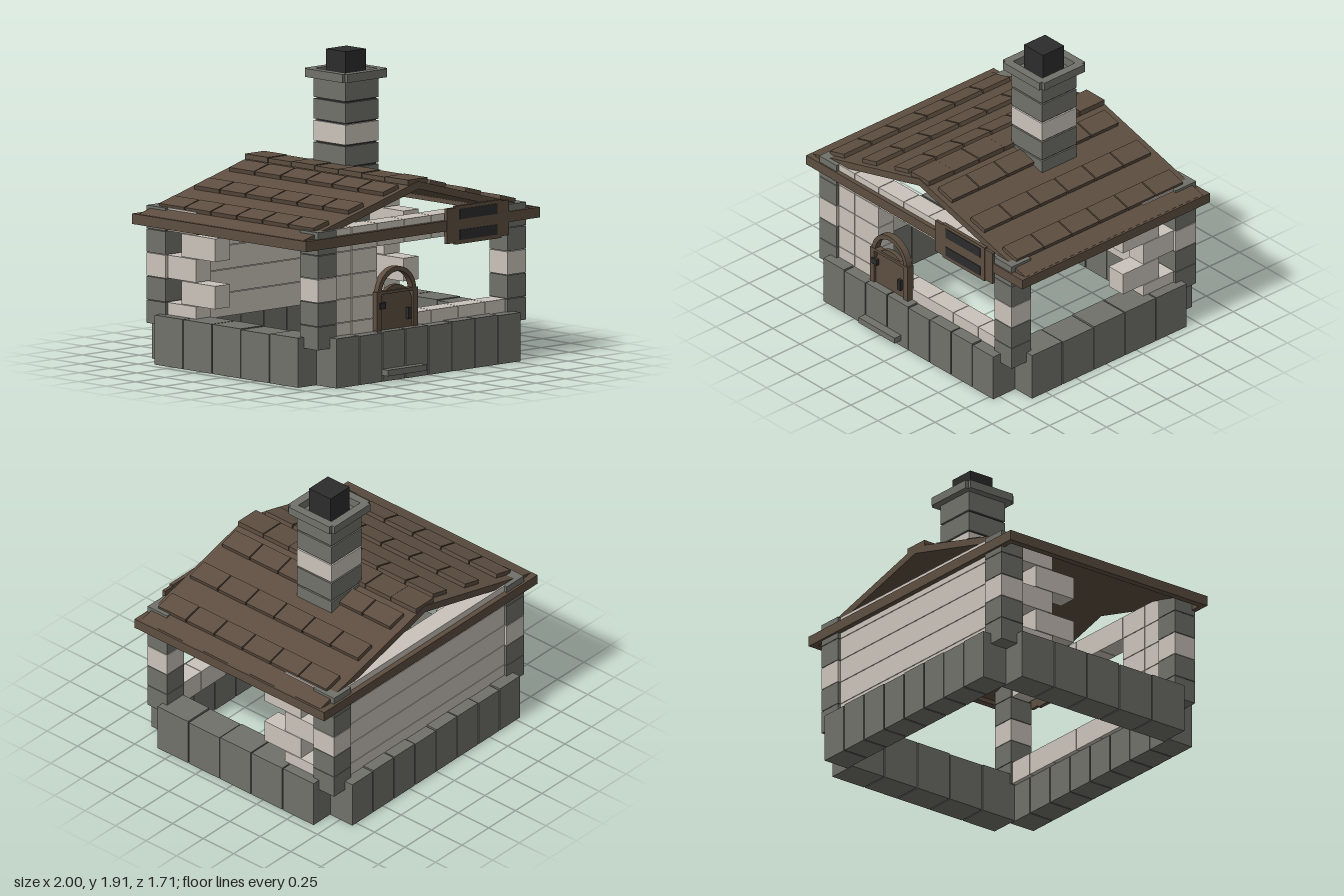
import * as THREE from 'three';

export function createModel() {
  const group = new THREE.Group();
  const mat = (name, color) => {
    const m = new THREE.MeshStandardMaterial({ color });
    m.name = name;
    return m;
  };
  const grey = mat('grey stone', 0x70716a);
  const pale = mat('pale stone', 0xcac3ba);
  const brown = mat('brown wood', 0x5d4e40);
  const dark = mat('dark iron', 0x2c2c2d);

  const add = (name, geo, material, parent = group) => {
    const m = new THREE.Mesh(geo, material);
    m.name = name;
    parent.add(m);
    return m;
  };
  // Box given by its limits on each axis
  const box = (name, material, x0, x1, y0, y1, z0, z1, parent) => {
    const m = add(name, new THREE.BoxGeometry(x1 - x0, y1 - y0, z1 - z0), material, parent);
    m.position.set((x0 + x1) / 2, (y0 + y1) / 2, (z0 + z1) / 2);
    return m;
  };
  const part = (name) => {
    const g = new THREE.Group();
    g.name = name;
    group.add(g);
    return g;
  };
  const gap = 0.004;
  const course = (k) => [0.24 + 0.148 * k + gap / 2, 0.24 + 0.148 * (k + 1) - gap / 2];

  // Foundation ring of large blocks
  const foundation = part('foundation');
  for (let i = 0; i < 8; i++) {
    const x = -0.79 + i * 0.1975;
    const top = i % 3 === 1 ? 0.305 : 0.31;
    box('frontBlock', grey, x + gap, x + 0.1975 - gap, 0, top, 0.62, 0.8, foundation);
    box('backBlock', grey, x + gap, x + 0.1975 - gap, 0, top, -0.85, -0.67, foundation);
  }
  for (let i = 0; i < 5; i++) {
    const z = -0.67 + i * 0.258;
    for (const s of [-1, 1]) {
      const [a, b] = s > 0 ? [0.74, 0.94] : [-0.94, -0.74];
      box('sideBlock', grey, a, b, 0, i === 3 ? 0.305 : 0.31, z + gap, z + 0.258 - gap, foundation);
    }
  }
  box('doorStep', grey, -0.4, -0.065, 0.04, 0.078, 0.78, 0.855);

  // Corner posts and staggered stones on both sides
  for (const s of [-1, 1]) {
    const span = (a, b) => (s > 0 ? [a, b] : [-b, -a]);
    const posts = part('cornerPosts');
    const stones = part('sideStones');
    for (let k = 0; k < 5; k++) {
      const [y0, y1] = course(k);
      const m = k === 2 ? pale : grey;
      box('postStone', m, ...span(0.73, 0.89), y0, y1, 0.58, 0.74, posts);
      box('postStone', m, ...span(0.73, 0.89), y0, y1, -0.79, -0.62, posts);
      const [z0, z1] = k % 2 ? [-0.5, -0.2] : [-0.622, -0.37];
      box('sideStone', pale, ...span(0.74, 0.87), y0, y1, z0, z1, stones);
    }
  }

  // Back wall of long courses
  const backWall = part('backWall');
  for (let k = 0; k < 5; k++) box('backCourse', pale, -0.73, 0.73, ...course(k), -0.77, -0.64, backWall);

  // Front wall: pier by the door, low sill and top course
  const frontWall = part('frontWall');
  for (let k = 0; k < 5; k++) {
    box('pierStone', pale, -0.73, -0.585, ...course(k), 0.59, 0.72, frontWall);
    box('pierStone', pale, -0.58, -0.365, ...course(k), 0.59, 0.72, frontWall);
  }
  for (let i = 0; i < 5; i++) {
    const x0 = -0.36 + i * 0.23;
    const x1 = Math.min(x0 + 0.226, 0.73);
    box('sillStone', pale, x0, x1, ...course(0), 0.59, 0.72, frontWall);
    box('lintelStone', pale, x0, x1, ...course(4), 0.59, 0.72, frontWall);
  }

  // Pitched roof slab
  const slope = 0.268;
  const roofShape = new THREE.Shape([
    [-0.985, 0.936], [-0.985, 0.89], [0, 1.152], [0.985, 0.89], [0.985, 0.936], [0, 1.2],
  ].map(([x, y]) => new THREE.Vector2(x, y)));
  const roofGeo = new THREE.ExtrudeGeometry(roofShape, { depth: 1.47, bevelEnabled: false });
  add('roof', roofGeo, brown).position.z = -0.76;

  // Raised shingles and ridge caps
  const shingles = part('shingles');
  for (const s of [-1, 1]) {
    for (const x of [0.2, 0.5, 0.797]) {
      for (let i = 0; i < 6; i++) {
        const m = add('shingle', new THREE.BoxGeometry(0.134, 0.035, 0.222), brown, shingles);
        m.position.set(s * x, 1.2 - slope * x + 0.01, -0.592 + i * 0.231);
        m.rotation.z = -s * Math.atan(slope);
      }
    }
  }
  for (let i = 0; i < 7; i++) {
    const z = -0.755 + i * 0.209;
    box('ridgeCap', brown, -0.083, 0.083, 1.182, i % 2 ? 1.211 : 1.215, z, z + 0.204, shingles);
  }

  // Eaves frame
  const eaves = part('eaves');
  box('frontBeam', brown, -1, 1, 0.87, 0.935, 0.715, 0.75, eaves);
  box('backBeam', brown, -1, 1, 0.87, 0.935, -0.805, -0.765, eaves);
  box('sideBeam', brown, 0.955, 1, 0.87, 0.935, -0.765, 0.715, eaves);
  box('sideBeam', brown, -1, -0.955, 0.87, 0.935, -0.765, 0.715, eaves);

  // Chimney with stone courses, rim and dark flue
  const chimney = part('chimney');
  chimney.position.set(0.2, 0, -0.147);
  for (let k = 0; k < 5; k++) {
    const y = 1.065 + k * 0.136;
    box('chimneyStone', k === 2 ? pale : grey, -0.141, 0.141, y, y + 0.126, -0.143, 0.143, chimney);
  }
  box('flueCore', dark, -0.13, 0.13, 1.08, 1.73, -0.13, 0.13, chimney);
  box('flue', dark, -0.088, 0.088, 1.72, 1.91, -0.088, 0.088, chimney);
  for (const s of [-1, 1]) {
    const [a, b] = s > 0 ? [0.135, 0.19] : [-0.19, -0.135];
    box('rimBeam', grey, -0.168, 0.168, 1.735, 1.788, a, b, chimney);
    box('rimBeam', grey, a, b, 1.735, 1.788, -0.168, 0.168, chimney);
  }

  // Arched door with frame, hinge and handle
  const door = part('door');
  const cx = -0.225;
  const leafShape = new THREE.Shape();
  leafShape.moveTo(cx - 0.14, 0.31);
  leafShape.lineTo(cx + 0.14, 0.31);
  leafShape.lineTo(cx + 0.14, 0.445);
  leafShape.absarc(cx, 0.445, 0.14, 0, Math.PI, false);
  leafShape.closePath();
  const leaf = new THREE.ExtrudeGeometry(leafShape, { depth: 0.03, bevelEnabled: false, curveSegments: 12 });
  add('doorLeaf', leaf, brown, door).position.z = 0.715;
  const archShape = new THREE.Shape();
  archShape.absarc(cx, 0.535, 0.163, 0, Math.PI, false);
  archShape.absarc(cx, 0.535, 0.133, Math.PI, 0, true);
  archShape.closePath();
  const arch = new THREE.ExtrudeGeometry(archShape, { depth: 0.045, bevelEnabled: false, curveSegments: 14 });
  add('doorArch', arch, brown, door).position.z = 0.71;
  box('doorPost', brown, -0.4, -0.362, 0.31, 0.545, 0.71, 0.758, door);
  box('doorPost', brown, -0.092, -0.052, 0.31, 0.545, 0.71, 0.758, door);
  box('doorBar', brown, -0.4, -0.052, 0.535, 0.553, 0.71, 0.758, door);
  box('hinge', dark, -0.38, -0.33, 0.445, 0.485, 0.74, 0.766, door);
  box('handle', dark, -0.14, -0.115, 0.36, 0.432, 0.74, 0.766, door);

  // Blank hanging board with two dark slots
  const board = part('frontBoard');
  box('boardWing', brown, 0.2, 0.73, 0.79, 1.01, 0.735, 0.756, board);
  box('boardCentre', brown, 0.27, 0.66, 0.78, 1.02, 0.735, 0.76, board);
  for (const y of [0.805, 0.935]) box('boardSlot', dark, 0.303, 0.625, y, y + 0.064, 0.757, 0.764, board);

  return group;
}
